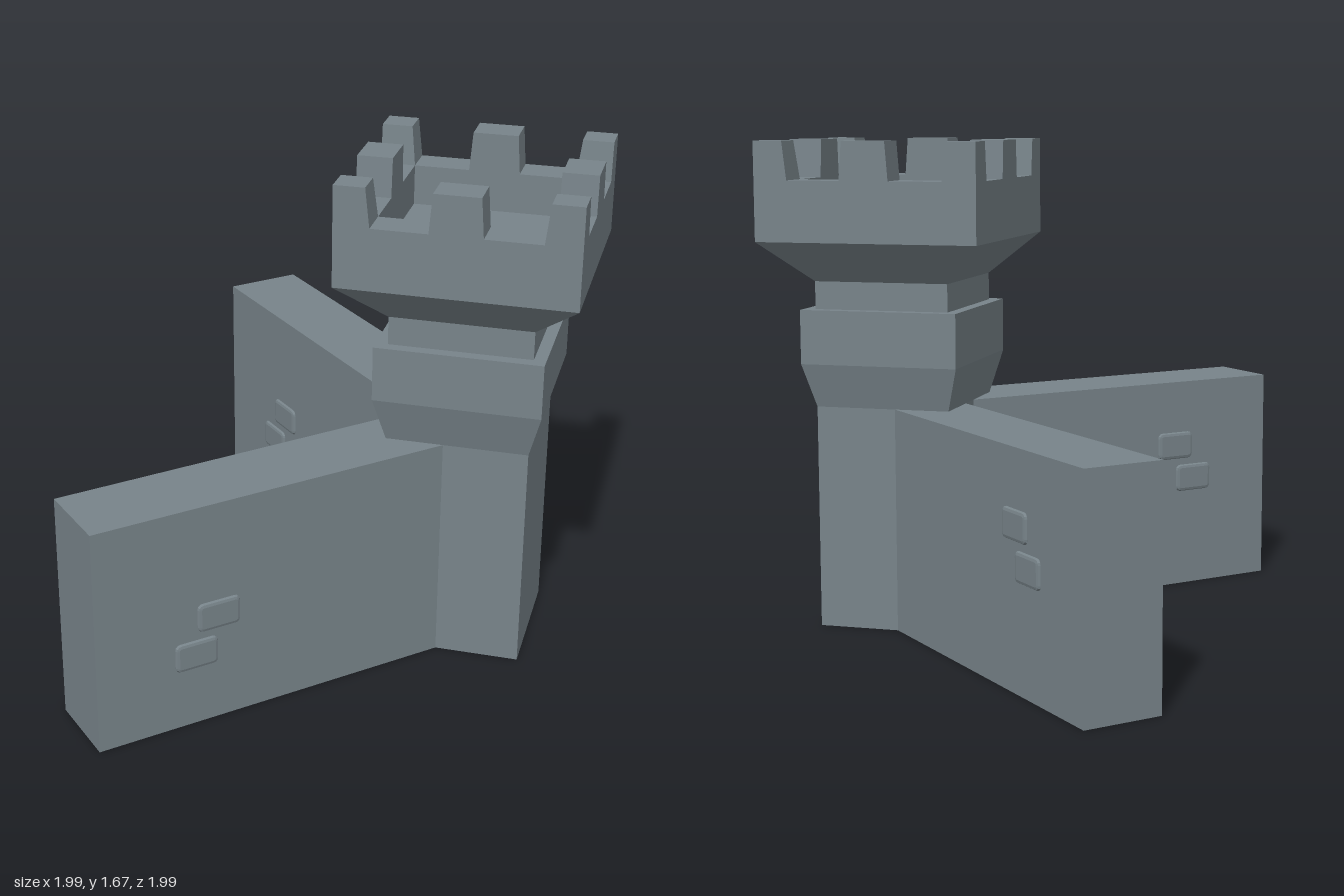
import * as THREE from 'three';

export function createModel() {
  const stone = new THREE.MeshStandardMaterial({ color: 0x78848a, flatShading: true, side: THREE.DoubleSide });
  stone.name = 'stone grey';

  const add = (parent, name, geometry) => {
    const mesh = new THREE.Mesh(geometry, stone);
    mesh.name = name;
    parent.add(mesh);
    return mesh;
  };

  // Block whose top runs between its own x and z limits, for tapered merlons
  const taperedBlock = (y0, y1, bottom, top) => {
    const g = new THREE.BoxGeometry(1, 1, 1);
    const p = g.attributes.position;
    for (let i = 0; i < p.count; i++) {
      const high = p.getY(i) > 0;
      const [x0, x1, z0, z1] = high ? top : bottom;
      p.setXYZ(i, p.getX(i) < 0 ? x0 : x1, high ? y1 : y0, p.getZ(i) < 0 ? z0 : z1);
    }
    g.computeVertexNormals();
    return g;
  };

  const model = new THREE.Group();
  model.name = 'cornerTower';
  const centre = new THREE.Group();
  centre.name = 'towerAndWalls';
  centre.position.set(0.45, 0, 0.45);
  model.add(centre);

  // Square tower standing on its diagonal: shaft, collar, flared head, inner walkway
  const profile = [
    [0.333, 0], [0.333, 0.77], [0.39, 0.92], [0.39, 1.105], [0.333, 1.105], [0.333, 1.2],
    [0.545, 1.34], [0.545, 1.545], [0.38, 1.545], [0.38, 1.41], [0, 1.41],
  ].map(([r, y]) => new THREE.Vector2(r, y));
  add(centre, 'tower', new THREE.LatheGeometry(profile, 4).toNonIndexed());

  // Battlements: one corner and one middle merlon per side
  const battlements = new THREE.Group();
  battlements.name = 'battlements';
  battlements.rotation.y = Math.PI / 4;
  centre.add(battlements);
  const outer = 0.545 * Math.SQRT1_2, inner = 0.38 * Math.SQRT1_2, y0 = 1.545, y1 = 1.675;
  for (let i = 0; i < 4; i++) {
    const side = new THREE.Group();
    side.name = 'battlementSide';
    side.rotation.y = i * Math.PI / 2;
    battlements.add(side);
    add(side, 'cornerMerlon', taperedBlock(y0, y1,
      [inner, outer, inner, outer], [inner + 0.015, outer, inner + 0.015, outer]));
    add(side, 'middleMerlon', taperedBlock(y0, y1,
      [-0.085, 0.085, inner, outer], [-0.075, 0.075, inner, outer]));
  }

  // Raised brick with rounded corners and bevelled edges
  const brickGeometry = () => {
    const w = 0.063, h = 0.038, r = 0.008, s = new THREE.Shape();
    s.moveTo(-w + r, -h);
    s.lineTo(w - r, -h).quadraticCurveTo(w, -h, w, -h + r);
    s.lineTo(w, h - r).quadraticCurveTo(w, h, w - r, h);
    s.lineTo(-w + r, h).quadraticCurveTo(-w, h, -w, h - r);
    s.lineTo(-w, -h + r).quadraticCurveTo(-w, -h, -w + r, -h);
    return new THREE.ExtrudeGeometry(s, {
      depth: 0.002, bevelEnabled: true, bevelSize: 0.012, bevelThickness: 0.009, bevelSegments: 2, curveSegments: 3,
    });
  };

  // Two matching walls at a right angle, open underneath
  const thick = 0.135, height = 0.77, far = -1.45, near = -0.15;
  for (const [name, turn] of [['rightWall', 0], ['backWall', -Math.PI / 2]]) {
    const wall = new THREE.Group();
    wall.name = name;
    wall.rotation.y = turn;
    centre.add(wall);
    const box = new THREE.BoxGeometry(near - far, height, thick * 2);
    box.translate((near + far) / 2, height / 2, 0);
    // Drop the underside (fourth face of the box)
    const index = Array.from(box.index.array);
    index.splice(18, 6);
    box.setIndex(index);
    box.clearGroups();
    add(wall, 'wallBody', box);
    for (const [x, y, face] of [[-1.025, 0.38, 1], [-1.105, 0.255, 1], [-1.045, 0.53, -1], [-1.125, 0.405, -1]]) {
      const brick = add(wall, 'raisedBrick', brickGeometry());
      brick.position.set(x, y, face * (thick - 0.001));
      if (face < 0) brick.rotation.y = Math.PI;
    }
  }
  return model;
}
